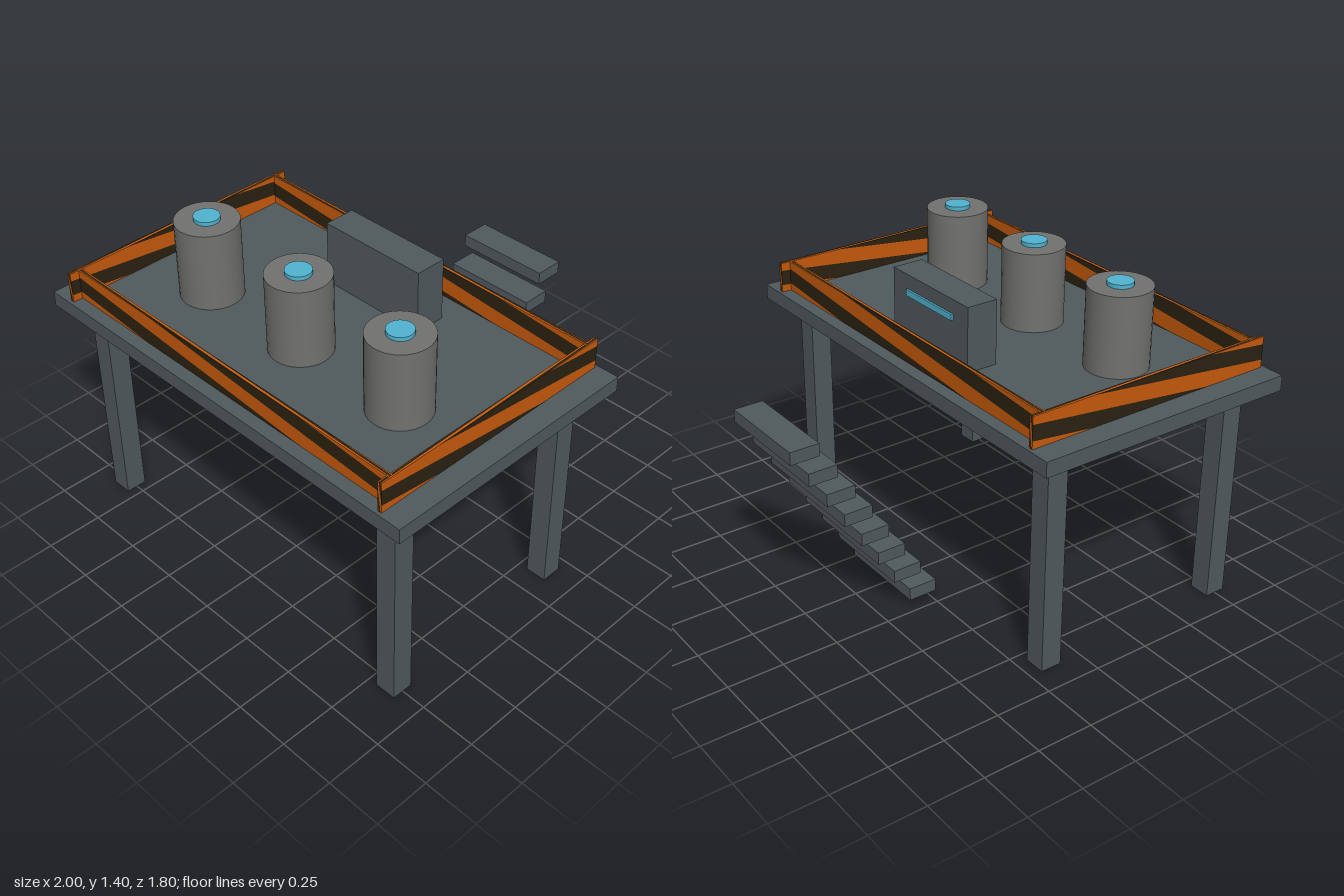
import * as THREE from 'three';
import { mergeGeometries } from 'three/addons/utils/BufferGeometryUtils.js';

const mat = (name, color) => new THREE.MeshStandardMaterial({ name, color });

export function createModel() {
  const slate = mat('slate', 0x50595d);
  const grey = mat('drumGrey', 0x71716f);
  const blue = mat('lightBlue', 0x50b3d0);
  const orange = mat('hazardOrange', 0xc65a0c);
  const dark = mat('hazardDark', 0x2b2110);
  const model = new THREE.Group();
  model.name = 'platform';

  // box given by its limits on each axis
  function box(name, material, x0, x1, y0, y1, z0, z1) {
    const mesh = new THREE.Mesh(new THREE.BoxGeometry(x1 - x0, y1 - y0, z1 - z0), material);
    mesh.position.set((x0 + x1) / 2, (y0 + y1) / 2, (z0 + z1) / 2);
    mesh.name = name;
    model.add(mesh);
  }

  // deck and legs
  box('deck', slate, -1, 1, 0.97, 1.037, -0.3, 0.895);
  for (const x of [-0.84, 0.84]) {
    for (const z of [0.752, -0.148]) {
      box('leg', slate, x - 0.047, x + 0.047, 0, 0.97, z - 0.047, z + 0.047);
    }
  }

  // floating steps climbing away from the deck
  for (let i = 0; i < 8; i++) {
    const y = 0.062 + i * 0.1181, z = -0.301 - i * 0.0764;
    box('step', slate, -0.218, 0.218, y - 0.028, y + 0.028, z - 0.065, z + 0.065);
  }

  // diagonal bands on a unit square, bounded by lines u + v = constant
  const bands = [
    [orange, [[0, 0], [0.25, 0], [0, 0.25]]],
    [dark, [[0.25, 0], [0.75, 0], [0, 0.75], [0, 0.25]]],
    [orange, [[0.75, 0], [1, 0], [1, 0.25], [0.25, 1], [0, 1], [0, 0.75]]],
    [dark, [[1, 0.25], [1, 0.75], [0.75, 1], [0.25, 1]]],
    [orange, [[1, 0.75], [1, 1], [0.75, 1]]],
  ];
  // rotations that turn a +z square into each side of a box
  const sides = [[0, 0], [0, Math.PI], [0, Math.PI / 2], [0, -Math.PI / 2], [-Math.PI / 2, 0], [Math.PI / 2, 0]];

  function bandGeometry(material) {
    const parts = [];
    for (const [rx, ry] of sides) {
      for (const [m, pts] of bands) {
        if (m !== material) continue;
        const shape = new THREE.Shape(pts.map(([u, v]) => new THREE.Vector2(u - 0.5, v - 0.5)));
        parts.push(new THREE.ShapeGeometry(shape).translate(0, 0, 0.5).rotateX(rx).rotateY(ry));
      }
    }
    return mergeGeometries(parts);
  }
  const orangeBands = bandGeometry(orange), darkBands = bandGeometry(dark);

  // striped guard rails
  function rail(name, w, d, x, z) {
    const group = new THREE.Group();
    group.name = name;
    const stripes = [['orangeStripes', orangeBands, orange], ['darkStripes', darkBands, dark]];
    for (const [part, geometry, material] of stripes) {
      const mesh = new THREE.Mesh(geometry.clone().scale(w, 0.135, d), material);
      mesh.name = part;
      group.add(mesh);
    }
    group.position.set(x, 1.1045, z);
    model.add(group);
  }
  rail('frontRail', 1.78, 0.018, 0, 0.828);
  rail('backRail', 1.78, 0.018, 0, -0.233);
  rail('leftRail', 0.018, 1.165, 0.889, 0.297);
  rail('rightRail', 0.018, 1.165, -0.889, 0.297);

  // drums with a glowing button on top
  function cylinder(name, material, r, y0, y1, x) {
    const mesh = new THREE.Mesh(new THREE.CylinderGeometry(r, r, y1 - y0, 32), material);
    mesh.position.set(x, (y0 + y1) / 2, 0.427);
    mesh.name = name;
    model.add(mesh);
  }
  for (const x of [-0.541, 0, 0.541]) {
    cylinder('drum', grey, 0.135, 1.03, 1.386, x);
    cylinder('drumButton', blue, 0.055, 1.386, 1.403, x);
  }

  // control console with a light strip on its back
  box('console', slate, -0.258, 0.258, 1.03, 1.32, -0.104, 0.038);
  box('consoleLight', blue, -0.158, 0.158, 1.23, 1.257, -0.113, -0.104);

  return model;
}
